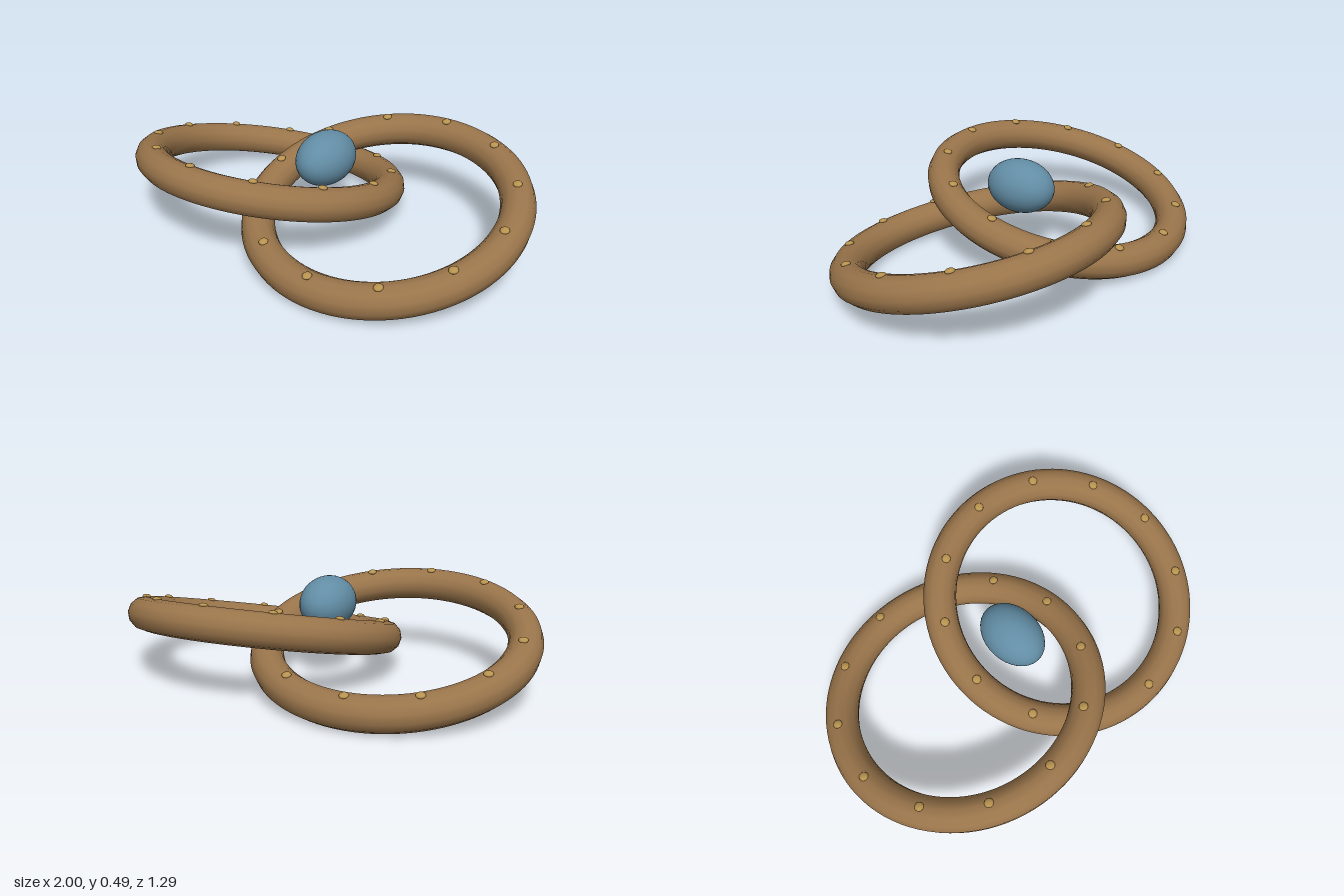
import * as THREE from 'three';

const RING_R = 0.588, TUBE_R = 0.078, TILT = 0.25, MID_Y = 0.221;

export function createModel() {
  const model = new THREE.Group();
  model.name = 'linkedRings';

  const make = (name, color) => {
    const m = new THREE.MeshStandardMaterial({ color });
    m.name = name;
    return m;
  };
  const bronze = make('bronze', 0x9a754b);
  const brass = make('brass', 0xb8934f);
  const blue = make('blue', 0x628da5);

  const ringGeo = new THREE.TorusGeometry(RING_R, TUBE_R, 12, 96).rotateX(-Math.PI / 2);
  const studGeo = new THREE.SphereGeometry(0.021, 14, 10).scale(1, 0.5, 1);

  // One tilted ring with twelve flattened studs along its upper side
  function studdedRing(name, side) {
    const g = new THREE.Group();
    g.name = name;
    const ring = new THREE.Mesh(ringGeo, bronze);
    ring.name = 'ring';
    g.add(ring);
    for (let i = 0; i < 12; i++) {
      const a = (i / 12) * Math.PI * 2;
      const stud = new THREE.Mesh(studGeo, brass);
      stud.name = 'stud';
      stud.position.set(Math.cos(a) * RING_R, TUBE_R, Math.sin(a) * RING_R);
      g.add(stud);
    }
    g.position.set(side * 0.333, MID_Y, 0);
    g.rotation.x = side * TILT;
    return g;
  }
  model.add(studdedRing('rightRing', -1), studdedRing('leftRing', 1));

  // Egg-shaped gem floating where the rings overlap
  const gem = new THREE.Mesh(new THREE.SphereGeometry(1, 32, 24), blue);
  gem.name = 'gem';
  gem.scale.set(0.126, 0.126, 0.17);
  gem.position.y = 0.364;
  model.add(gem);

  return model;
}
